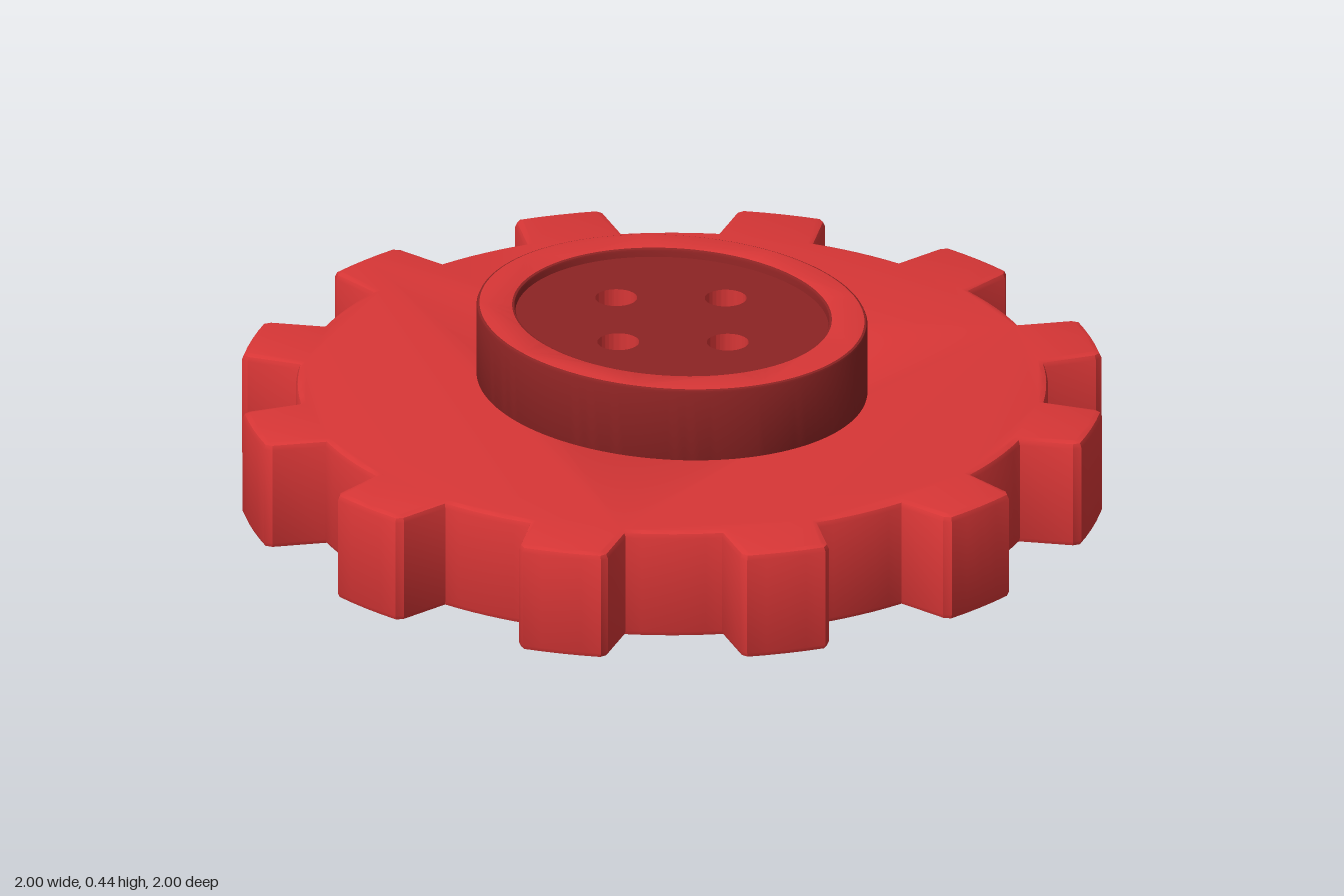
import * as THREE from 'three';
import { toCreasedNormals } from 'three/addons/utils/BufferGeometryUtils.js';

const TEETH = 12;
const ROOT = 0.863, TIP = 1.0;

// Closed ellipse, as an outline or as a hole
function ellipse(Type, rx, rz, x = 0, z = 0) {
  const path = new Type();
  path.absellipse(x, z, rx, rz, 0, Math.PI * 2, false, 0);
  return path;
}

// Outline of the cog: slightly tapered teeth with chamfered tips joined by root arcs
function cogShape() {
  const points = [];
  const polar = (r, a) => points.push(new THREE.Vector2(r * Math.cos(a), r * Math.sin(a)));
  const rootHalf = Math.asin(0.115 / ROOT);
  const tipHalf = Math.asin(0.107 / TIP);
  const step = (Math.PI * 2) / TEETH;
  for (let i = 0; i < TEETH; i++) {
    const a = i * step;
    polar(ROOT, a - rootHalf);
    polar(TIP - 0.015, a - tipHalf);
    for (let k = -2; k <= 2; k++) polar(TIP, a + (k / 2) * (tipHalf - 0.014));
    polar(TIP - 0.015, a + tipHalf);
    polar(ROOT, a + rootHalf);
    for (let k = 1; k < 6; k++) polar(ROOT, a + rootHalf + ((step - 2 * rootHalf) * k) / 6);
  }
  return new THREE.Shape(points);
}

// Upright slab between two heights, with an inset bevel on its edges
function slab(name, shape, y0, y1, bevel, materials) {
  const raw = new THREE.ExtrudeGeometry(shape, {
    depth: y1 - y0 - 2 * bevel,
    curveSegments: 72,
    bevelEnabled: bevel > 0,
    bevelThickness: bevel,
    bevelSize: bevel,
    bevelOffset: -bevel,
    bevelSegments: 2,
  });
  raw.rotateX(-Math.PI / 2);
  raw.translate(0, y0 + bevel, 0);
  const mesh = new THREE.Mesh(toCreasedNormals(raw, 0.5), materials);
  mesh.name = name;
  return mesh;
}

export function createModel() {
  const red = new THREE.MeshStandardMaterial({ color: 0xd83636 });
  red.name = 'red';
  const darkRed = new THREE.MeshStandardMaterial({ color: 0x8c2323 });
  darkRed.name = 'dark red';

  const model = new THREE.Group();
  model.name = 'cogButton';

  // Toothed wheel with an oval opening for the insert
  const cog = cogShape();
  cog.holes.push(ellipse(THREE.Path, 0.36, 0.32));
  model.add(slab('toothedWheel', cog, 0.008, 0.27, 0.015, red));

  // Raised oval hub: bright top face, dark wall
  const hub = ellipse(THREE.Shape, 0.475, 0.42);
  hub.holes.push(ellipse(THREE.Path, 0.38, 0.338));
  model.add(slab('hubRim', hub, 0.23, 0.445, 0.007, [red, darkRed]));

  // Dark oval insert with four thread holes through it
  const insert = ellipse(THREE.Shape, 0.383, 0.341);
  for (const [x, z] of [[0.18, 0], [-0.18, 0], [0, 0.175], [0, -0.175]]) {
    insert.holes.push(ellipse(THREE.Path, 0.048, 0.048, x, z));
  }
  model.add(slab('holedInsert', insert, 0, 0.425, 0, [darkRed, red]));

  return model;
}
